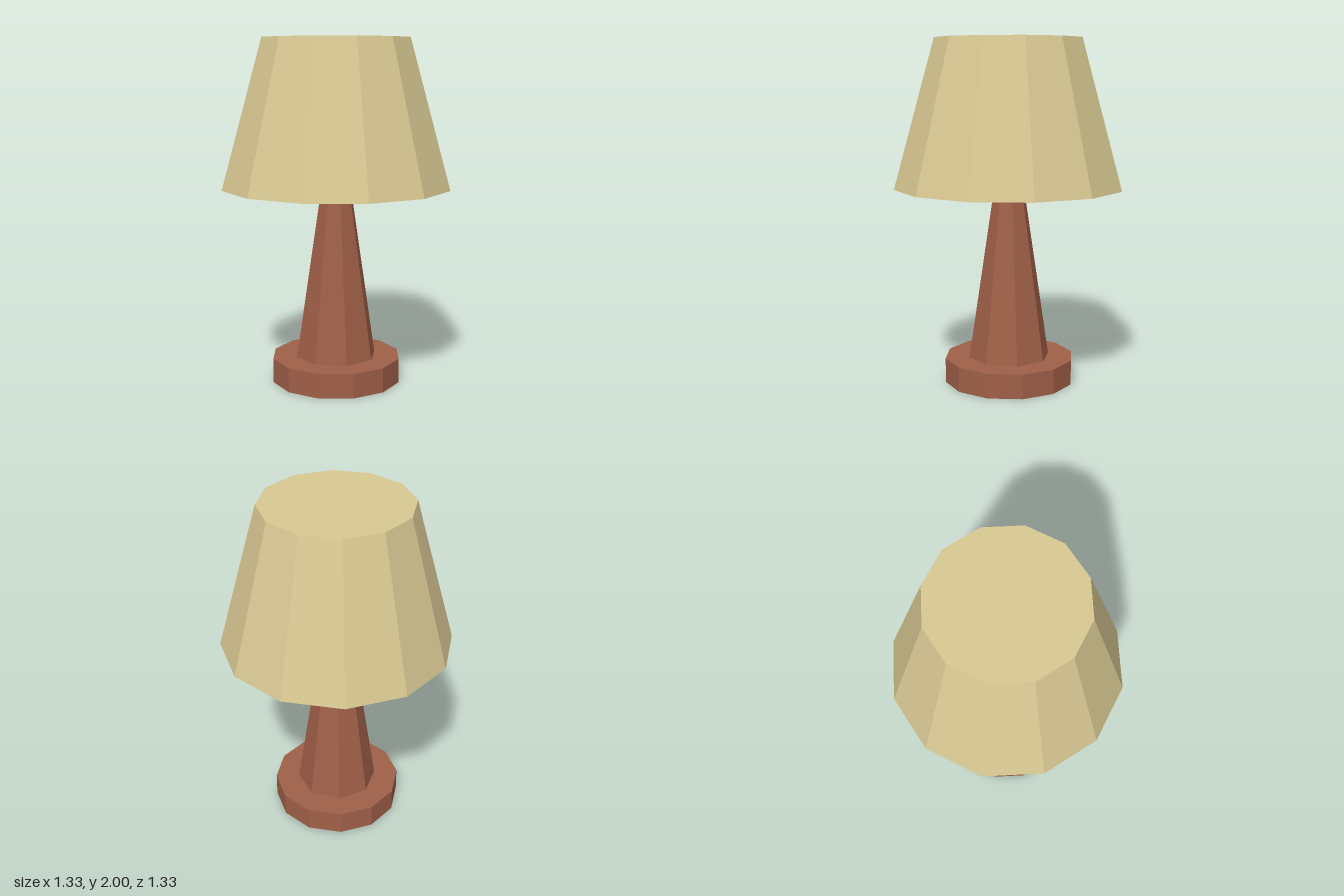
import * as THREE from 'three';

export function createModel() {
  const lamp = new THREE.Group();
  lamp.name = 'tableLamp';

  const wood = new THREE.MeshStandardMaterial({ color: 0xa06048, flatShading: true });
  wood.name = 'reddish brown wood';
  const fabric = new THREE.MeshStandardMaterial({ color: 0xd9c993, flatShading: true });
  fabric.name = 'cream fabric';

  // Faceted, capped frustum spanning y0 to y1
  function addFrustum(name, topRadius, bottomRadius, y0, y1, sides, material) {
    const geometry = new THREE.CylinderGeometry(topRadius, bottomRadius, y1 - y0, sides);
    const mesh = new THREE.Mesh(geometry, material);
    mesh.name = name;
    mesh.position.y = (y0 + y1) / 2;
    lamp.add(mesh);
  }

  // Disc foot, tapered stem, and closed shade floating just above the stem
  addFrustum('base', 0.38, 0.38, 0, 0.143, 12, wood);
  addFrustum('stem', 0.095, 0.238, 0.143, 1.097, 8, wood);
  addFrustum('shade', 0.428, 0.665, 1.147, 2, 12, fabric);

  return lamp;
}
